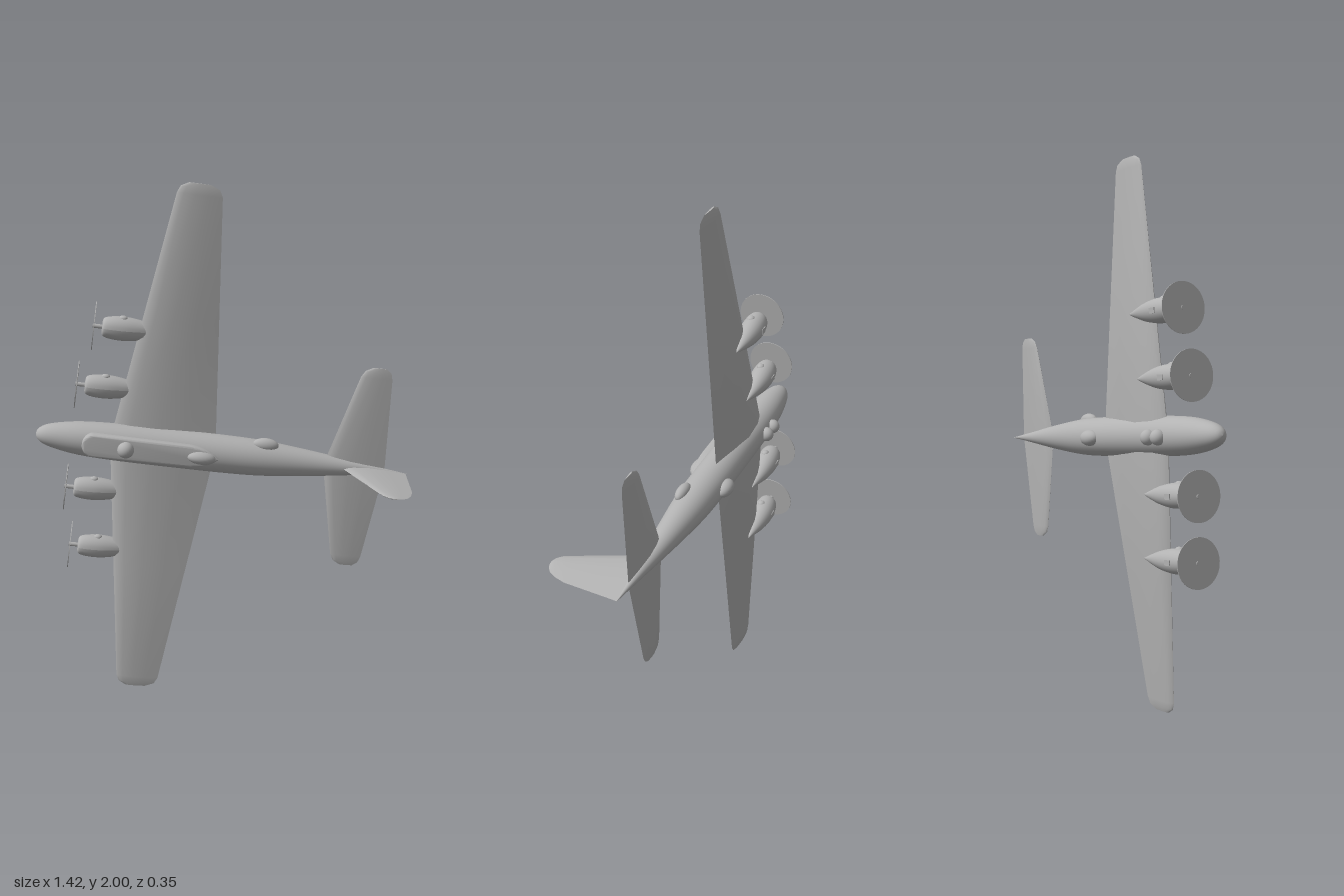
import * as THREE from 'three';
import { toCreasedNormals } from 'three/addons/utils/BufferGeometryUtils.js';

// Aircraft frame: x runs aft, y towards the right wing tip, z up from the aircraft's back.
const paint = new THREE.MeshStandardMaterial({ color: 0xb2b2b2 });
paint.name = 'plain grey';
const thin = new THREE.MeshStandardMaterial({ color: 0xb2b2b2, side: THREE.DoubleSide });
thin.name = 'propeller grey';

function add(parent, name, geometry, x = 0, y = 0, z = 0, material = paint) {
  const mesh = new THREE.Mesh(geometry, material);
  mesh.name = name;
  mesh.position.set(x, y, z);
  parent.add(mesh);
  return mesh;
}

// Body of revolution along x from [x, radius] pairs, smoothed by a spline
function turned(points, segments = 32) {
  const curve = new THREE.SplineCurve(points.map(([x, r]) => new THREE.Vector2(r, x)));
  const profile = curve.getPoints(40).map(p => new THREE.Vector2(Math.max(p.x, 0), p.y));
  return new THREE.LatheGeometry(profile, segments).rotateZ(-Math.PI / 2);
}

const ball = (rx, ry, rz) => new THREE.SphereGeometry(1, 24, 16).scale(rx, ry, rz);

// Aerofoil surface through sections [span, leading edge, trailing edge, height, thickness]
const FOIL = [[1, 0], [0.7, 0.28], [0.4, 0.48], [0.15, 0.4], [0.04, 0.22], [0, 0],
  [0.04, -0.22], [0.15, -0.4], [0.4, -0.48], [0.7, -0.28]];
function aerofoil(sections) {
  const n = FOIL.length, positions = [], index = [];
  for (const [s, le, te, h, t] of sections)
    for (const [c, f] of FOIL) positions.push(le + (te - le) * c, s, h + f * t);
  const last = (sections.length - 1) * n;
  for (let i = 0; i < last; i += n)
    for (let j = 0; j < n; j++) {
      const k = (j + 1) % n;
      index.push(i + j, i + n + j, i + k, i + k, i + n + j, i + n + k);
    }
  for (let j = 1; j < n - 1; j++) index.push(0, j, j + 1, last, last + j + 1, last + j);
  const g = new THREE.BufferGeometry();
  g.setAttribute('position', new THREE.Float32BufferAttribute(positions, 3));
  g.setIndex(index);
  return toCreasedNormals(g, 0.6);
}

// Right half sections plus their mirror image, tip to tip
function mirrored(half) {
  const left = half.slice(1).reverse().map(([s, ...rest]) => [-s, ...rest]);
  return aerofoil([...left, ...half]);
}

function engine(x, y, z) {
  const g = new THREE.Group();
  g.name = 'engine';
  g.position.set(x, y, z);
  // Cowling with a drooping tapered tail
  const cowl = turned([[0, 0], [0.001, 0.025], [0.012, 0.037], [0.05, 0.044], [0.1, 0.044],
    [0.16, 0.034], [0.22, 0.016], [0.265, 0]], 24);
  const p = cowl.attributes.position;
  for (let i = 0; i < p.count; i++) p.setZ(i, p.getZ(i) - 0.085 * p.getX(i));
  cowl.computeVertexNormals();
  add(g, 'cowling', cowl);
  add(g, 'sideBump', ball(0.016, 0.01, 0.014), 0.075, 0.041, 0);
  add(g, 'scoop', new THREE.BoxGeometry(0.03, 0.02, 0.014), 0.08, 0, -0.046);
  // Propeller shaft and spinning disc
  add(g, 'shaft', new THREE.CylinderGeometry(0.008, 0.008, 0.04, 12).rotateZ(Math.PI / 2), -0.015);
  add(g, 'propellerDisc', new THREE.CylinderGeometry(0.09, 0.09, 0.003, 40).rotateZ(Math.PI / 2),
    -0.03, 0, 0.003, thin);
  return g;
}

export function createModel() {
  const model = new THREE.Group();
  model.name = 'aircraft';
  const plane = new THREE.Group();
  plane.name = 'airframe';
  model.add(plane);

  add(plane, 'fuselage', turned([[-0.708, 0], [-0.7, 0.02], [-0.67, 0.039], [-0.61, 0.054],
    [-0.53, 0.065], [-0.4, 0.071], [-0.2, 0.073], [0, 0.073], [0.15, 0.069], [0.3, 0.055],
    [0.45, 0.037], [0.6, 0.017], [0.735, 0]], 40));

  add(plane, 'wing', mirrored([[0, -0.427, -0.02, -0.023, 0.064], [0.5, -0.358, -0.076, 0.002, 0.044],
    [0.965, -0.294, -0.128, 0.026, 0.022], [0.99, -0.283, -0.14, 0.027, 0.017],
    [1.005, -0.255, -0.175, 0.028, 0.008]]));

  add(plane, 'tailplane', mirrored([[0, 0.4, 0.643, 0, 0.026], [0.365, 0.488, 0.61, 0, 0.016],
    [0.39, 0.502, 0.602, 0, 0.013], [0.405, 0.53, 0.582, 0, 0.006]]));

  add(plane, 'fin', aerofoil([[0, 0.462, 0.728, 0, 0.026], [0.04, 0.48, 0.724, 0, 0.024],
    [0.22, 0.551, 0.708, 0, 0.016], [0.265, 0.569, 0.694, 0, 0.014], [0.295, 0.582, 0.677, 0, 0.012],
    [0.313, 0.6, 0.655, 0, 0.008], [0.32, 0.618, 0.636, 0, 0.004]]).rotateX(Math.PI / 2));

  // Raised strip along the back, rounded in front and narrowing aft
  const strip = new THREE.Shape();
  strip.moveTo(-0.49, -0.036);
  strip.lineTo(-0.13, -0.034);
  strip.quadraticCurveTo(-0.06, -0.03, -0.025, 0);
  strip.quadraticCurveTo(-0.06, 0.03, -0.13, 0.034);
  strip.lineTo(-0.49, 0.036);
  strip.bezierCurveTo(-0.535, 0.034, -0.535, -0.034, -0.49, -0.036);
  add(plane, 'backStrip', toCreasedNormals(new THREE.ExtrudeGeometry(strip, {
    depth: 0.05, bevelSize: 0.008, bevelThickness: 0.008, bevelSegments: 3, curveSegments: 12,
  }), 0.6), 0, 0, 0.03);

  // Domes and blisters on the back, side and belly
  add(plane, 'backDome', ball(0.032, 0.032, 0.032), -0.367, 0, 0.085);
  add(plane, 'rearBackBlister', ball(0.055, 0.026, 0.03), -0.08, 0, 0.08);
  add(plane, 'sideBlister', ball(0.05, 0.026, 0.023), 0.163, 0.062, 0.025);
  add(plane, 'bellyBlister', ball(0.048, 0.03, 0.032), 0.01, 0, -0.07);
  for (const x of [-0.435, -0.375]) add(plane, 'bellyDome', ball(0.028, 0.028, 0.028), x, 0, -0.072);

  for (const side of [-1, 1]) {
    plane.add(engine(-0.545, side * 0.205, -0.018), engine(-0.505, side * 0.437, -0.007));
  }

  // Banked attitude, balanced on the left wing tip
  const aft = new THREE.Vector3(0.983, -0.136, -0.119).normalize();
  const up = new THREE.Vector3().crossVectors(aft, new THREE.Vector3(0.14, 0.99, 0)).normalize();
  const right = new THREE.Vector3().crossVectors(up, aft);
  plane.setRotationFromMatrix(new THREE.Matrix4().makeBasis(aft, right, up));
  plane.position.set(-0.013, 0.972, -0.074);
  model.updateMatrixWorld(true);
  const box = new THREE.Box3().setFromObject(model, true);
  const centre = box.getCenter(new THREE.Vector3());
  plane.position.sub(new THREE.Vector3(centre.x, box.min.y, centre.z));
  return model;
}
